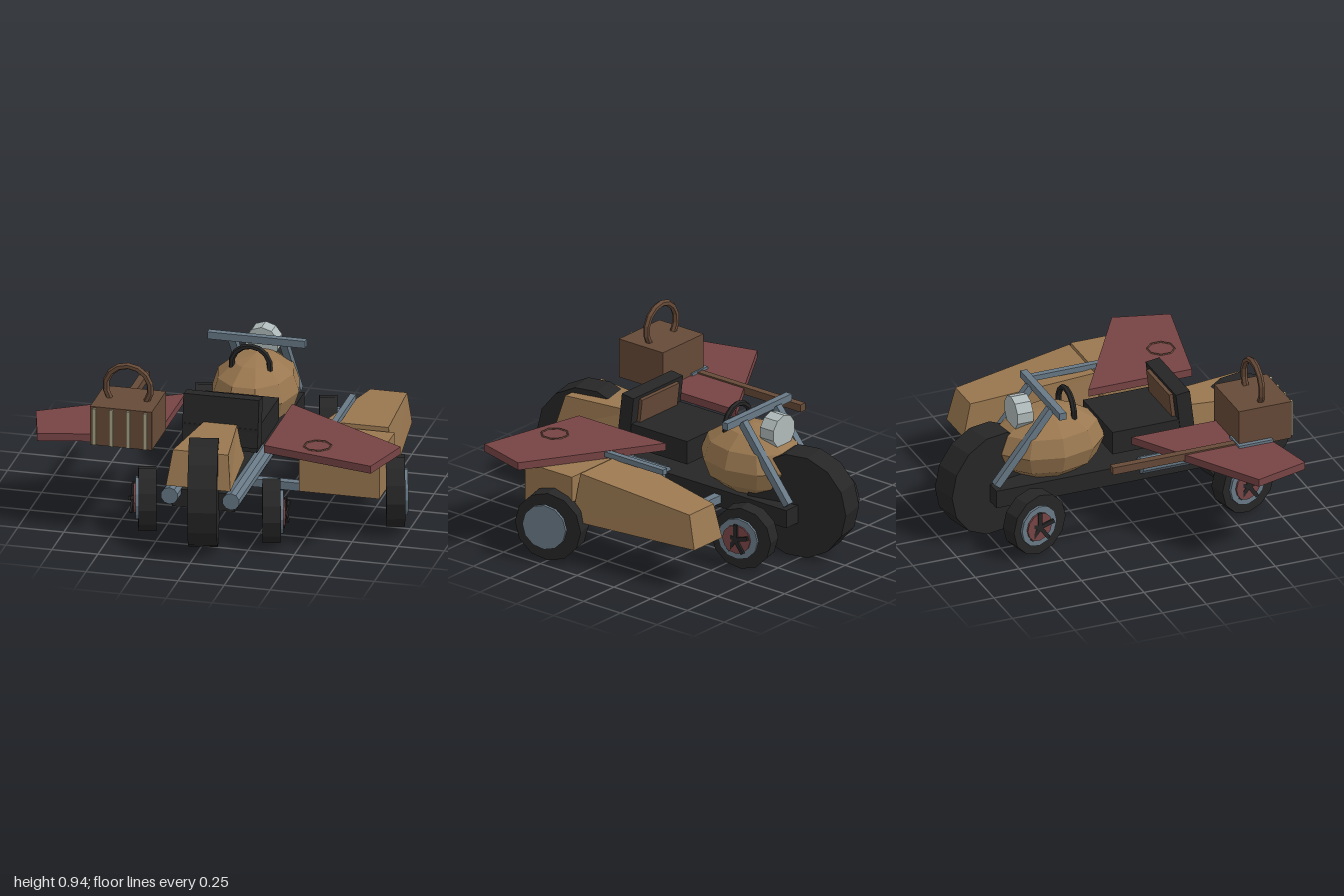
import * as THREE from 'three';

const mat = (name, color) => {
  const m = new THREE.MeshStandardMaterial({ color, flatShading: true });
  m.name = name;
  return m;
};

export function createModel() {
  const tan = mat('tan', 0x9a7850), black = mat('black', 0x262626), steel = mat('steel', 0x687986);
  const red = mat('red', 0x774445), brown = mat('brown', 0x664a38), lamp = mat('lamp', 0xb0baba);
  const cream = mat('cream', 0xa8a283);
  const model = new THREE.Group();

  const add = (name, geo, m, x = 0, y = 0, z = 0, parent = model) => {
    const mesh = new THREE.Mesh(geo, m);
    mesh.name = name;
    mesh.position.set(x, y, z);
    parent.add(mesh);
    return mesh;
  };
  // Box given by its extents
  const box = (name, m, x0, x1, y0, y1, z0, z1) =>
    add(name, new THREE.BoxGeometry(x1 - x0, y1 - y0, z1 - z0), m, (x0 + x1) / 2, (y0 + y1) / 2, (z0 + z1) / 2);
  // Disc or drum with its axis along x
  const drum = (name, m, r, w, x, y, z, sides = 12, parent = model) =>
    add(name, new THREE.CylinderGeometry(r, r, w, sides).rotateX(Math.PI / sides).rotateZ(Math.PI / 2), m, x, y, z, parent);
  // Square bar between two points
  const bar = (name, m, a, b, t) => {
    const mesh = add(name, new THREE.BoxGeometry(t, t, a.distanceTo(b)), m);
    mesh.position.copy(a).lerp(b, 0.5);
    mesh.lookAt(b);
    return mesh;
  };
  // Tapered body: each corner is picked by rule(top, front, side)
  const body = (name, m, rule) => {
    const geo = new THREE.BoxGeometry(1, 1, 1), p = geo.attributes.position;
    for (let i = 0; i < p.count; i++) {
      const v = rule(p.getY(i) > 0, p.getZ(i) > 0, Math.sign(p.getX(i)));
      p.setXYZ(i, v[0], v[1], v[2]);
    }
    geo.computeVertexNormals();
    return add(name, geo, m);
  };
  // Arched handle
  const arch = (name, m, r, t, x, y, z) =>
    add(name, new THREE.TorusGeometry(r, t, 6, 10, Math.PI * 1.4).rotateZ(-Math.PI * 0.2), m, x, y, z);

  // Main wheels and chassis
  for (const s of [1, -1]) drum(s > 0 ? 'frontMainWheel' : 'rearMainWheel', black, 0.29, 0.155, 0, 0.293, s * 0.715, 14);
  box('chassis', black, -0.17, 0.17, 0.2, 0.3, -0.74, 0.72);

  // Side tubes and steering fork
  for (const s of [1, -1]) {
    add('sideTube', new THREE.CylinderGeometry(0.047, 0.047, 0.71, 10).rotateX(Math.PI / 2), steel, s * 0.167, 0.285, 0.435);
    bar('forkArm', steel, new THREE.Vector3(s * 0.14, 0.71, -0.42), new THREE.Vector3(s * 0.14, 0.32, -0.73), 0.04);
  }
  box('handlebar', steel, -0.265, 0.265, 0.7, 0.74, -0.42, -0.382);

  // Tank, its handle and the lamp
  const tank = add('tank', new THREE.SphereGeometry(1, 10, 6), tan, 0, 0.455, -0.375);
  tank.scale.set(0.235, 0.195, 0.31);
  arch('tankHandle', black, 0.105, 0.016, 0, 0.625, -0.27);
  add('headlamp', new THREE.CylinderGeometry(0.092, 0.092, 0.09, 10).rotateX(Math.PI / 2), lamp, 0, 0.655, -0.54);

  // Seat and backrest
  box('seat', black, -0.2, 0.2, 0.4, 0.53, -0.09, 0.37);
  const back = box('backrest', black, -0.205, 0.205, 0.42, 0.685, 0.285, 0.365);
  back.rotation.x = -0.12;
  add('backrestPanel', new THREE.BoxGeometry(0.31, 0.17, 0.03), brown, 0, 0.03, -0.045, back);

  // Tapered fender over the forward wheel
  body('fender', tan, (top, front, s) => [
    s * (front ? (top ? 0.15 : 0.175) : (top ? 0.09 : 0.13)), top ? 0.545 : 0.36, front ? (top ? 0.78 : 0.83) : 0.36]);

  // Four small wheels with spoked hubs
  for (const sx of [1, -1]) for (const sz of [1, -1]) {
    const wheel = new THREE.Group();
    wheel.name = 'supportWheel';
    wheel.position.set(sx * 0.337, 0.175, sz * 0.595);
    model.add(wheel);
    drum('tyre', black, 0.172, 0.095, 0, 0, 0, 12, wheel);
    drum('rim', steel, 0.115, 0.02, sx * 0.054, 0, 0, 12, wheel);
    drum('hubDisc', red, 0.08, 0.012, sx * 0.068, 0, 0, 12, wheel);
    for (let i = 0; i < 5; i++) {
      const geo = new THREE.BoxGeometry(0.012, 0.085, 0.022).translate(0, 0.042, 0).rotateX(i * Math.PI * 0.4);
      add('spoke', geo, black, sx * 0.077, 0, 0, wheel);
    }
  }

  // Sidecar: nose box and tapering tail
  box('sidecarNose', tan, 0.45, 0.885, 0.24, 0.49, 0.13, 0.45);
  body('sidecarTail', tan, (top, front, s) => [
    0.67 + s * (front ? (top ? 0.175 : 0.21) : (top ? 0.1 : 0.115)),
    top ? (front ? 0.505 : 0.425) : 0.24, front ? (top ? 0.105 : 0.135) : (top ? -0.575 : -0.62)]);
  drum('sidecarWheel', black, 0.19, 0.1, 0.918, 0.208, 0.24);
  drum('sidecarHub', steel, 0.125, 0.02, 0.976, 0.208, 0.24);
  box('rearSidecarLink', steel, 0.15, 0.58, 0.225, 0.27, -0.295, -0.25);
  box('frontSidecarLink', steel, 0.15, 0.675, 0.225, 0.27, 0.37, 0.415);

  // Wings, mirrored
  for (const s of [1, -1]) {
    const shape = new THREE.Shape([[0.29, -0.02], [0.99, 0.41], [0.905, 0.71], [0.29, 0.57]]
      .map(([x, z]) => new THREE.Vector2(s * x, z)));
    const geo = new THREE.ExtrudeGeometry(shape, { depth: 0.042, bevelEnabled: false }).rotateX(Math.PI / 2);
    add(s > 0 ? 'leftWing' : 'rightWing', geo, red, 0, 0.532, 0);
  }
  box('leftWingStrut', steel, 0.547, 0.58, 0.5, 0.53, -0.24, 0.3);
  add('wingRing', new THREE.TorusGeometry(0.073, 0.005, 4, 8).rotateX(Math.PI / 2).rotateY(Math.PI / 8), brown, 0.565, 0.533, 0.51);
  box('rightWingStrut', brown, -0.585, -0.545, 0.498, 0.54, -0.25, 0.47);
  box('basketMount', steel, -0.63, -0.5, 0.485, 0.546, 0.45, 0.645);

  // Basket with slats and handle
  box('basket', brown, -0.605, -0.27, 0.52, 0.737, 0.46, 0.76);
  for (let i = 0; i < 4; i++) {
    const x = -0.58 + i * 0.092;
    box('basketSlat', cream, x - 0.01, x + 0.01, 0.525, 0.73, 0.758, 0.775);
  }
  arch('basketHandle', brown, 0.122, 0.018, -0.437, 0.802, 0.61);

  return model;
}
